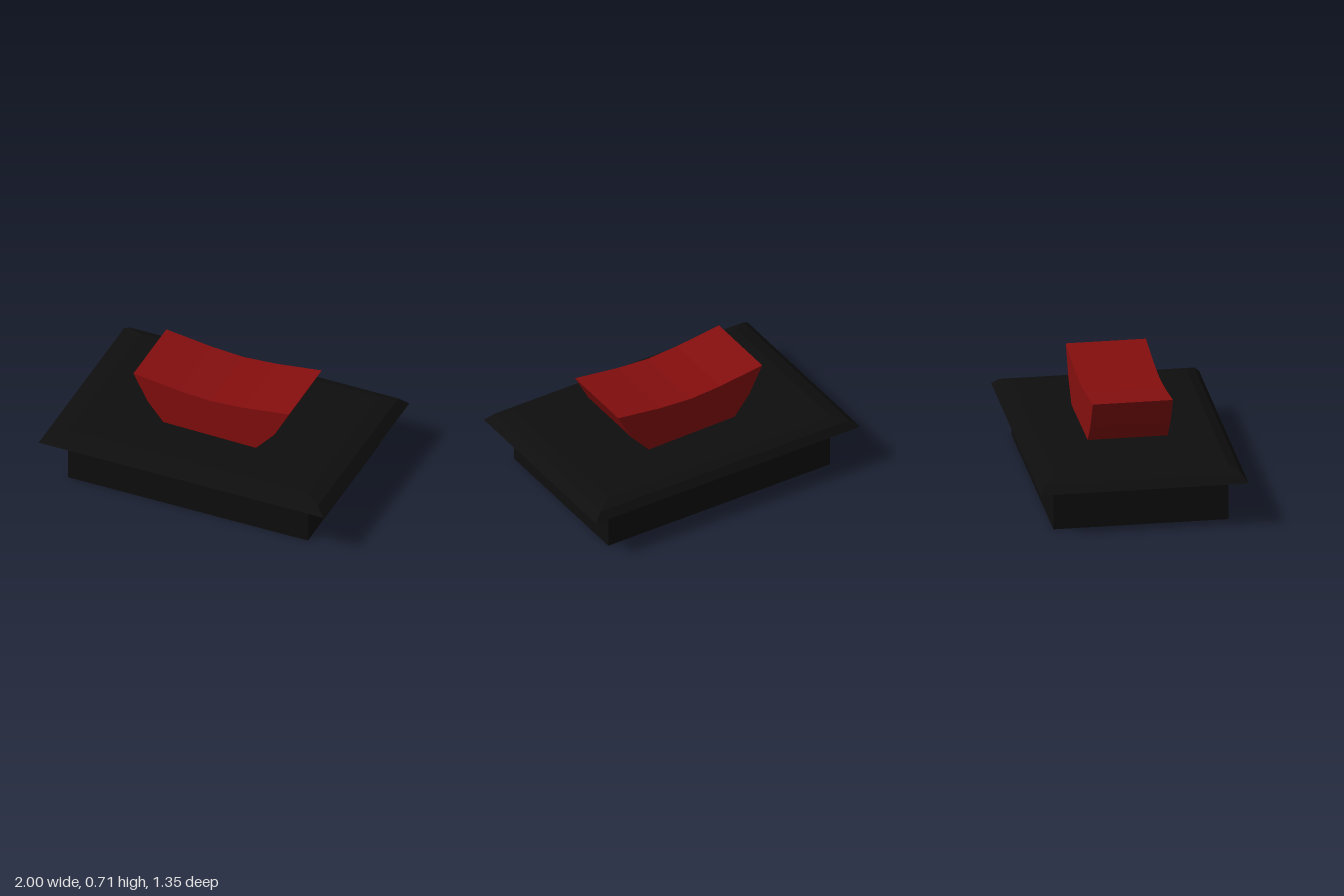
import * as THREE from 'three';

// Rectangle [x0, x1, half depth, y at x0, y at x1] as four corners, counter-clockwise from above
const ring = (x0, x1, z, y0, y1 = y0) => [[x0, y0, z], [x1, y1, z], [x1, y1, -z], [x0, y0, -z]];

// Closed faceted solid through a stack of rectangles, bottom to top
function loft(rings) {
  const pos = [];
  const quad = (a, b, c, d) => pos.push(...a, ...b, ...c, ...a, ...c, ...d);
  for (let i = 0; i < rings.length - 1; i++) {
    const lo = rings[i], hi = rings[i + 1];
    for (let k = 0; k < 4; k++) {
      const n = (k + 1) % 4;
      quad(lo[k], lo[n], hi[n], hi[k]);
    }
  }
  quad(...[...rings[0]].reverse());
  quad(...rings[rings.length - 1]);
  const geo = new THREE.BufferGeometry();
  geo.setAttribute('position', new THREE.Float32BufferAttribute(pos, 3));
  geo.computeVertexNormals();
  return geo;
}

export function createModel() {
  const model = new THREE.Group();
  model.name = 'rockerSwitch';
  const black = new THREE.MeshStandardMaterial({ color: 0x0e0e0e, flatShading: true });
  const red = new THREE.MeshStandardMaterial({ color: 0x850e0e, flatShading: true });
  const add = (name, geo, mat) => {
    const mesh = new THREE.Mesh(geo, mat);
    mesh.name = name;
    model.add(mesh);
    return mesh;
  };

  // Plain box that sits in the panel
  const body = add('body', new THREE.BoxGeometry(1.68, 0.3, 1.136), black);
  body.position.y = 0.15;

  // Overhanging bevelled frame, rising slightly to the rocker opening
  add('frame', loft([
    ring(-1, 1, 0.675, 0.3),
    ring(-0.94, 0.94, 0.635, 0.35),
    ring(-0.84, 0.84, 0.568, 0.376),
    ring(-0.3, 0.34, 0.265, 0.391, 0.38),
  ]), black);

  // Rocker with a dished top and flared ends
  const profile = [
    [-0.29, 0.36], [0.32, 0.36], [0.34, 0.38], [0.47, 0.525], [0.57, 0.715],
    [0.25, 0.673], [0.02, 0.658], [-0.2, 0.673], [-0.52, 0.715], [-0.42, 0.525], [-0.31, 0.39],
  ].map(([x, y]) => new THREE.Vector2(x, y));
  const rocker = new THREE.ExtrudeGeometry(new THREE.Shape(profile), { depth: 0.52, bevelEnabled: false });
  rocker.translate(0, 0, -0.26);
  add('rocker', rocker, red);

  return model;
}
